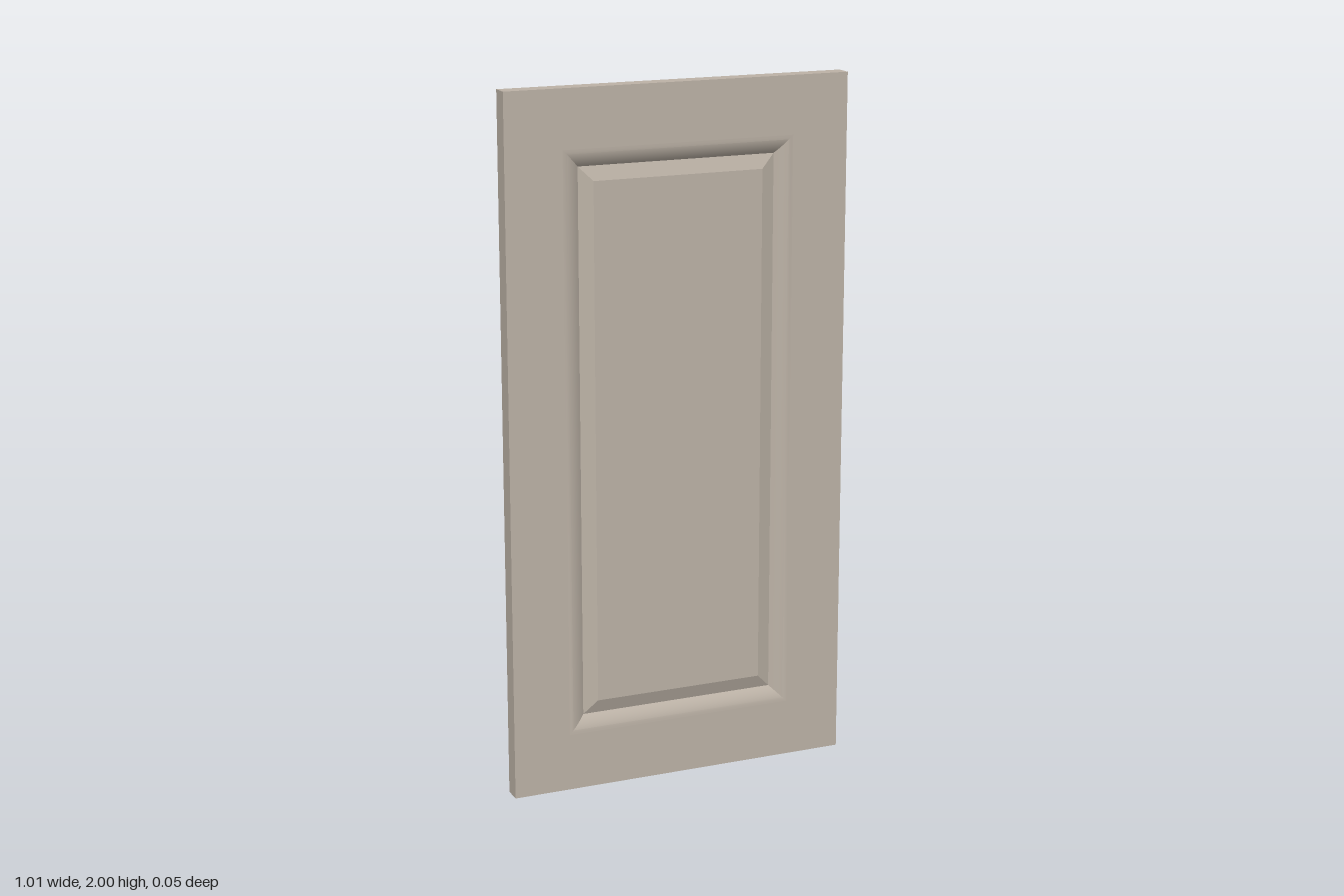
import * as THREE from 'three';
import { toCreasedNormals } from 'three/addons/utils/BufferGeometryUtils.js';

const W = 0.505, H = 1, T = 0.026; // half width, half height, half thickness
const FIELD_INSET = 0.255, FIELD_Z = T - 0.006;

// Mitred surface joining nested rectangles, each given as [inset from door edge, z]
function mitredRings(profile) {
  const pos = [], index = [];
  for (const [d, z] of profile) {
    const x = W - d, y = H - d;
    pos.push(-x, -y, z, x, -y, z, x, y, z, -x, y, z);
  }
  for (let r = 0; r < profile.length - 1; r++) {
    for (let k = 0; k < 4; k++) {
      const a = r * 4 + k, b = r * 4 + (k + 1) % 4;
      index.push(a, b, b + 4, a, b + 4, a + 4);
    }
  }
  const g = new THREE.BufferGeometry();
  g.setAttribute('position', new THREE.Float32BufferAttribute(pos, 3));
  g.setIndex(index);
  return toCreasedNormals(g, 0.25);
}

export function createModel() {
  const group = new THREE.Group();
  group.name = 'panelDoor';
  const material = new THREE.MeshStandardMaterial({ color: 0xbdb3a7 });
  const add = (name, geometry, x = 0, z = 0) => {
    const mesh = new THREE.Mesh(geometry, material);
    mesh.name = name;
    mesh.position.set(x, H, z);
    group.add(mesh);
    return mesh;
  };

  // Outer edges and flat face of the frame
  add('frame', mitredRings([[0, -T], [0, T], [0.165, T]]));

  // Rounded moulding rolling down to the groove
  const cove = [];
  for (let i = 0; i <= 8; i++) {
    const t = i / 8;
    cove.push([0.165 + 0.05 * t, T - 0.02 * t * t]);
  }
  add('moulding', mitredRings(cove));

  // Bevel rising from the groove to the raised field
  add('bevel', mitredRings([[0.215, T - 0.02], [FIELD_INSET, FIELD_Z]]));

  // Flush planks filling the raised field
  const plankWidth = 2 * (W - FIELD_INSET) / 5;
  for (let i = -2; i <= 2; i++) {
    add('plank', new THREE.PlaneGeometry(plankWidth, 2 * (H - FIELD_INSET)), i * plankWidth, FIELD_Z);
  }

  // Plain back face
  add('back', new THREE.PlaneGeometry(2 * W, 2 * H), 0, -T).rotation.y = Math.PI;

  return group;
}
